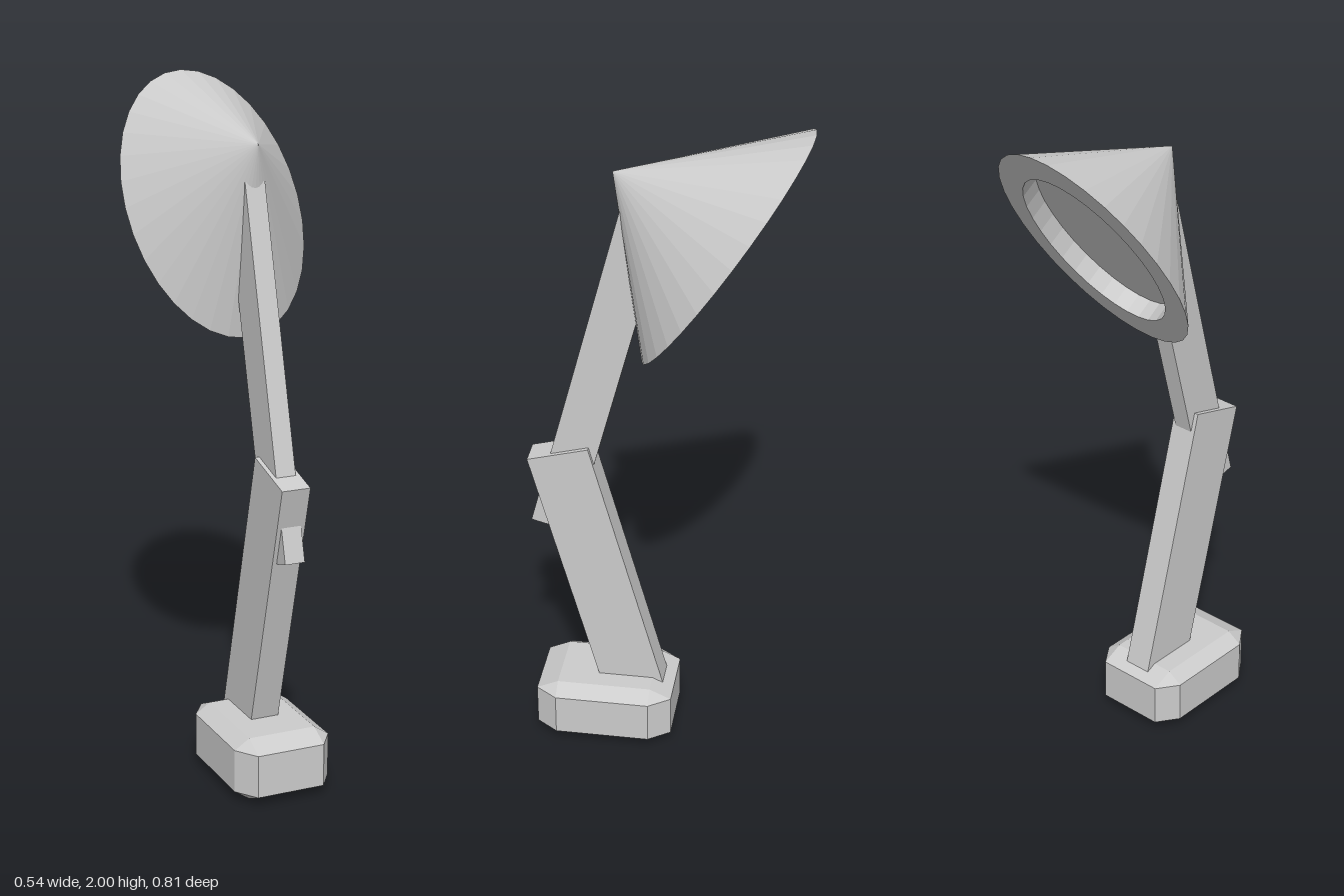
import * as THREE from 'three';
import { ConvexGeometry } from 'three/addons/geometries/ConvexGeometry.js';

const material = new THREE.MeshStandardMaterial({ color: 0xcccccc, flatShading: true, name: 'grey' });

function addPart(group, name, geometry, y, z, tilt = 0) {
  const mesh = new THREE.Mesh(geometry, material);
  mesh.name = name;
  mesh.position.set(0, y, z);
  mesh.rotation.x = tilt;
  group.add(mesh);
}

// Box with one flat bevel on every edge; the bevel differs per axis
function bevelledBox(half, bevel) {
  const points = [];
  for (const sx of [-1, 1]) for (const sy of [-1, 1]) for (const sz of [-1, 1]) {
    for (let full = 0; full < 3; full++) {
      const p = half.map((h, axis) => (axis === full ? h : h - bevel[axis]));
      points.push(new THREE.Vector3(sx * p[0], sy * p[1], sz * p[2]));
    }
  }
  return new ConvexGeometry(points);
}

// Bar whose origin is the middle of its lower end
function bar(width, length, depth) {
  return new THREE.BoxGeometry(width, length, depth).translate(0, length / 2, 0);
}

// Cone with a shallow round recess in its open face, squashed to an oval
function shadeGeometry() {
  const profile = [[0, 0.06], [0.75, 0.06], [0.75, 0], [1, 0], [0, 0.379]]
    .map(([r, y]) => new THREE.Vector2(r, y));
  return new THREE.LatheGeometry(profile, 32).scale(0.27, 1, 0.422);
}

export function createModel() {
  const lamp = new THREE.Group();
  lamp.name = 'deskLamp';
  const lean = THREE.MathUtils.degToRad(15);

  addPart(lamp, 'base', bevelledBox([0.148, 0.094, 0.207], [0.045, 0.03, 0.065]), 0.097, 0.179);
  addPart(lamp, 'lowerArm', bar(0.086, 0.9, 0.187), 0.101, 0.082, lean);
  addPart(lamp, 'upperArm', bar(0.06, 1.06, 0.131), 0.713, 0.337, -lean);
  addPart(lamp, 'shade', shadeGeometry(), 1.65, -0.167, 0.982);
  return lamp;
}
